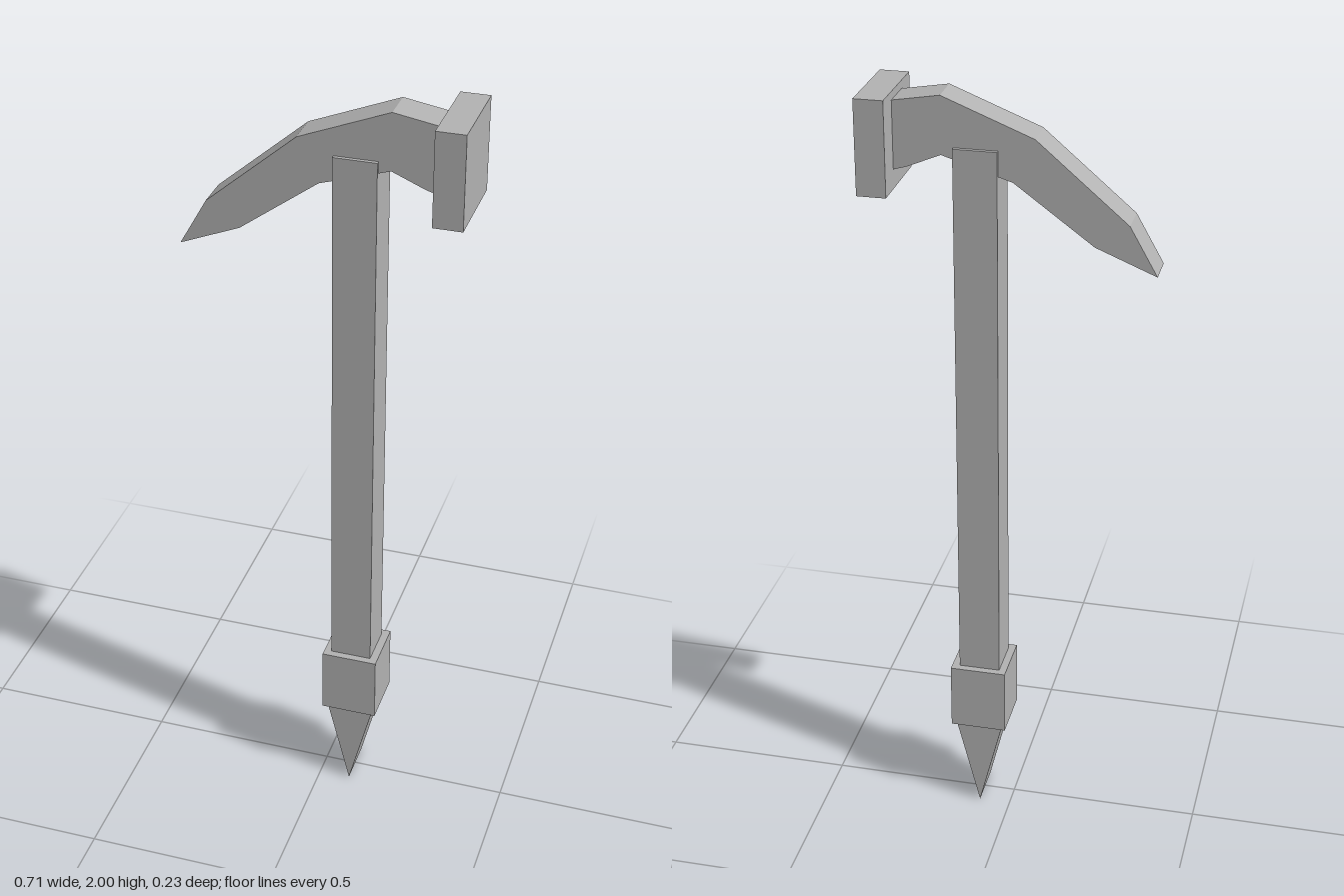
import * as THREE from 'three';

const steel = new THREE.MeshStandardMaterial({ color: 0xb2b2b2 });
steel.name = 'grey';

// Box given by its lower and upper corners
function block(name, [x0, y0, z0], [x1, y1, z1]) {
  const mesh = new THREE.Mesh(new THREE.BoxGeometry(x1 - x0, y1 - y0, z1 - z0), steel);
  mesh.position.set((x0 + x1) / 2, (y0 + y1) / 2, (z0 + z1) / 2);
  mesh.name = name;
  return mesh;
}

// Side outline given thickness along z, centred on z = 0
function slab(name, outline, depth) {
  const shape = new THREE.Shape(outline.map(([x, y]) => new THREE.Vector2(x, y)));
  const geometry = new THREE.ExtrudeGeometry(shape, { depth, bevelEnabled: false });
  geometry.translate(0, 0, -depth / 2);
  const mesh = new THREE.Mesh(geometry, steel);
  mesh.name = name;
  return mesh;
}

export function createModel() {
  const model = new THREE.Group();
  model.name = 'hammerPick';

  // Shaft and the collar near its foot
  model.add(block('shaft', [0.029, 0.4, -0.055], [0.137, 1.875, 0.055]));
  model.add(block('collar', [0.01, 0.25, -0.074], [0.157, 0.43, 0.074]));

  // Wedge-shaped foot spike, its edge running front to back
  model.add(slab('footSpike', [[0.083, 0], [0.147, 0.255], [0.02, 0.255]], 0.124));

  // Curved pick blade
  model.add(slab('pickBlade', [
    [-0.357, 1.593], [-0.205, 1.655], [-0.007, 1.8], [0.167, 1.855], [0.25, 1.82], [0.29, 1.808],
    [0.29, 1.979], [0.167, 2.0], [-0.06, 1.91], [-0.288, 1.715],
  ], 0.09));

  // Striking plate
  model.add(block('strikingPlate', [0.284, 1.762, -0.114], [0.357, 2.0, 0.114]));
  return model;
}
